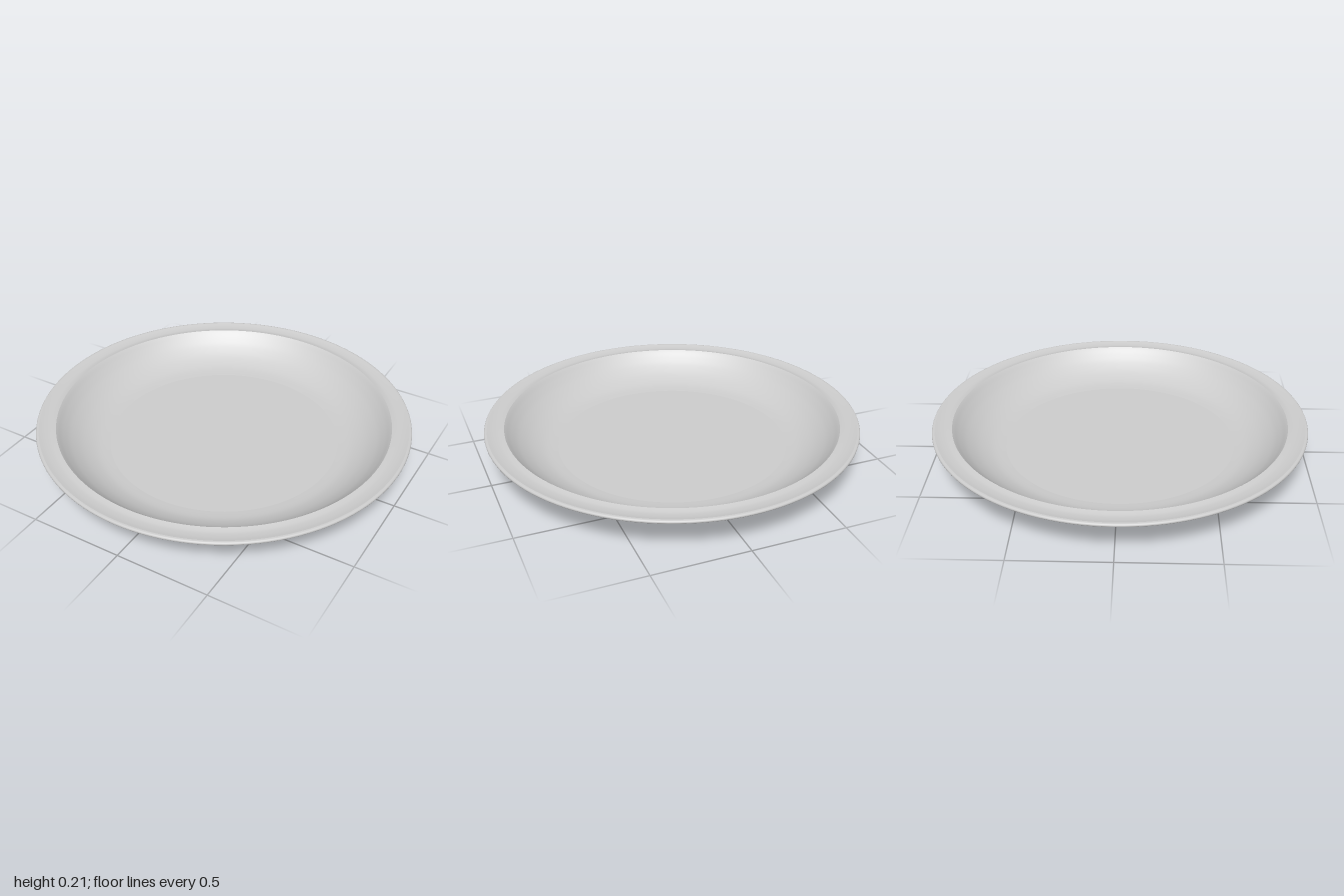
import * as THREE from 'three';

const SEGMENTS = 128;
const material = new THREE.MeshStandardMaterial({ color: 0xcccccc });

// Smooth curve through a few [radius, height] points
function curve(points, divisions) {
  return new THREE.SplineCurve(points.map(([r, y]) => new THREE.Vector2(r, y))).getPoints(divisions);
}

// One smooth band of the plate; profiles run from the underside out, up and back in
function band(name, profile) {
  const mesh = new THREE.Mesh(new THREE.LatheGeometry(profile, SEGMENTS), material);
  mesh.name = name;
  return mesh;
}

const line = (...points) => points.map(([r, y]) => new THREE.Vector2(r, y));

export function createModel() {
  const plate = new THREE.Group();
  plate.name = 'plate';

  plate.add(
    // Recessed base inside the foot ring
    band('base', line([0, 0.02], [0.58, 0.02])),

    // Foot ring with a rounded lower lip
    band('footRing', curve([
      [0.58, 0.02], [0.59, 0.007], [0.602, 0], [0.617, 0], [0.624, 0.008], [0.63, 0.025], [0.64, 0.038],
    ], 18)),

    // Underside sweeping in an S from the foot to the rim
    band('underside', curve([
      [0.64, 0.038], [0.7, 0.052], [0.76, 0.085], [0.83, 0.137], [0.9, 0.175], [0.95, 0.187], [0.985, 0.19],
    ], 30)),

    // Rounded outer edge
    band('rimEdge', curve([
      [0.985, 0.19], [0.996, 0.193], [1, 0.2], [0.996, 0.208], [0.985, 0.21],
    ], 12)),

    // Shallow hollow on top of the rim
    band('rim', curve([
      [0.985, 0.21], [0.96, 0.205], [0.93, 0.203], [0.91, 0.206], [0.895, 0.21],
    ], 14)),

    // Inner wall curving down to the floor
    band('wall', curve([
      [0.895, 0.21], [0.885, 0.2], [0.86, 0.173], [0.82, 0.137], [0.76, 0.098], [0.69, 0.07], [0.62, 0.06],
    ], 30)),

    // Flat eating surface
    band('floor', line([0.62, 0.06], [0, 0.06])),
  );

  return plate;
}
